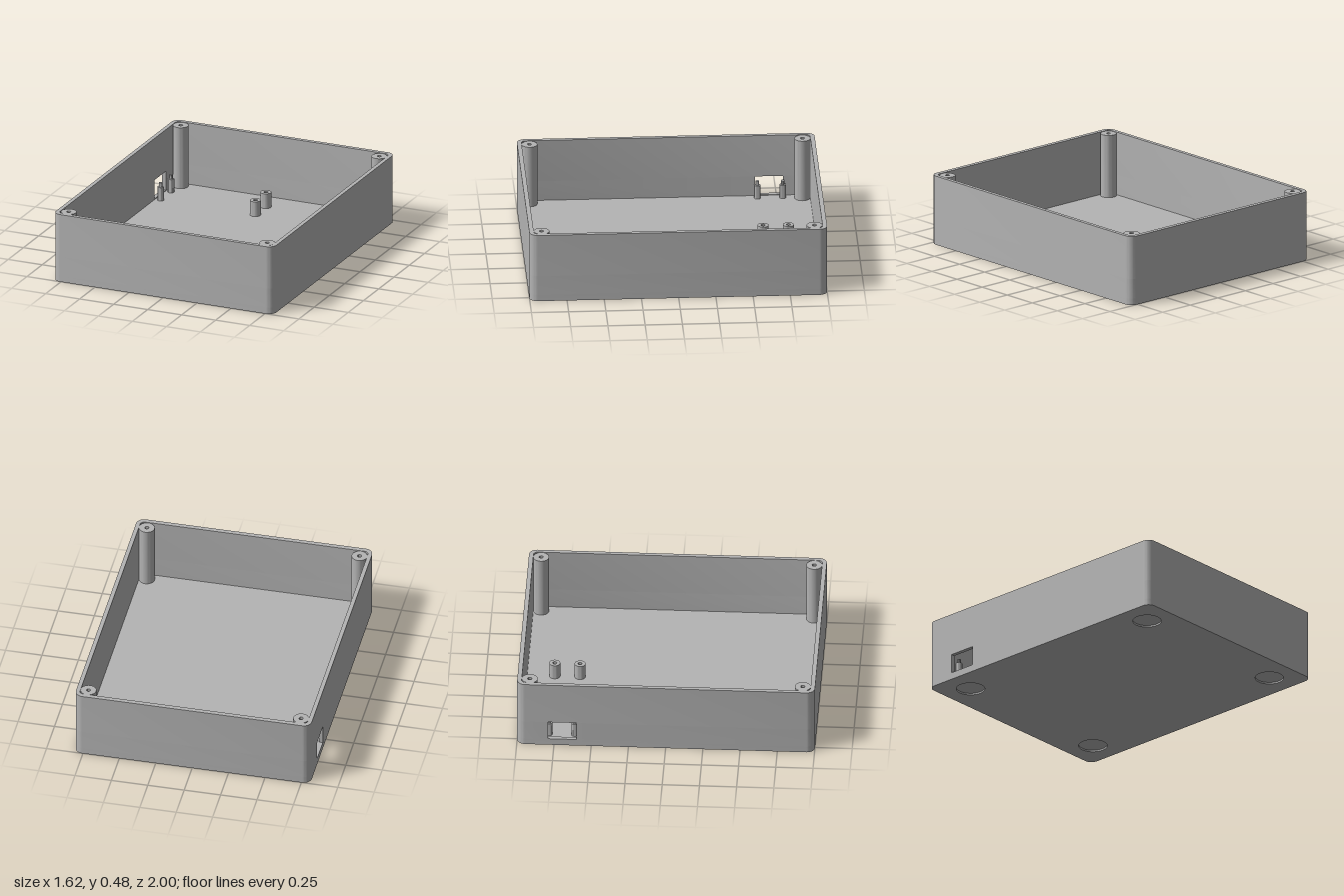
import * as THREE from 'three';
import { toCreasedNormals } from 'three/addons/utils/BufferGeometryUtils.js';

const HW = 0.81, HD = 1, H = 0.48, FLOOR = 0.042;

// Rounded rectangle, counter-clockwise, starting and ending on the -x side
function loop(hw, hd, r, n = 10) {
  const pts = [];
  [[-1, -1], [1, -1], [1, 1], [-1, 1]].forEach(([sx, sy], k) => {
    for (let i = 0; i <= n; i++) {
      const a = Math.PI + (k + i / n) * Math.PI / 2;
      pts.push(new THREE.Vector2(sx * (hw - r) + r * Math.cos(a), sy * (hd - r) + r * Math.sin(a)));
    }
  });
  return pts;
}

export function createModel() {
  const group = new THREE.Group();
  const grey = new THREE.MeshStandardMaterial({ color: 0xb4b4b4 });
  grey.name = 'grey plastic';

  const add = (name, geo, x = 0, y = 0, z = 0) => {
    const mesh = new THREE.Mesh(toCreasedNormals(geo, 0.6), grey);
    mesh.name = name;
    mesh.position.set(x, y, z);
    group.add(mesh);
  };
  // Horizontal slab from a plan outline (shape y is -z)
  const slab = (name, shape, y0, y1) => {
    const geo = new THREE.ExtrudeGeometry(shape, { depth: y1 - y0, bevelEnabled: false, curveSegments: 32 });
    add(name, geo.rotateX(-Math.PI / 2), 0, y0, 0);
  };
  // Turned part from [radius, height] pairs, outside going up
  const turned = (name, profile, x, y, z) =>
    add(name, new THREE.LatheGeometry(profile.map(p => new THREE.Vector2(...p)), 32), x, y, z);

  const outer = loop(HW, HD, 0.055);
  const inner = loop(0.782, 0.97, 0.028);

  // Base with four round recesses for feet
  const base = new THREE.Shape(outer);
  for (const sx of [-1, 1]) for (const sz of [-1, 1]) {
    base.holes.push(new THREE.Path().absarc(sx * 0.61, sz * 0.8, 0.096, 0, Math.PI * 2, true));
  }
  slab('footRecessLayer', base, 0, 0.012);
  slab('floor', new THREE.Shape(outer), 0.012, FLOOR);

  // Walls, with a port opening in the -x side near the back
  const ring = new THREE.Shape(outer);
  ring.holes.push(new THREE.Path(inner));
  const z0 = 0.6, z1 = 0.79;
  const v = (x, y) => new THREE.Vector2(x, y);
  const openRing = new THREE.Shape([
    v(-HW, z0), ...outer, v(-HW, z1),
    v(-0.782, z1), ...inner.slice().reverse(), v(-0.782, z0),
  ]);
  slab('wallBelowPort', ring, FLOOR, 0.048);
  slab('wallAroundPort', openRing, 0.048, 0.182);
  slab('wallAbovePort', ring, 0.182, H);

  // Corner screw posts with blind holes
  const post = H - FLOOR - 0.003;
  for (const sx of [-1, 1]) for (const sz of [-1, 1]) {
    turned('screwPost', [[0.053, 0], [0.053, post], [0.014, post], [0.014, post - 0.15], [0, post - 0.15]],
      sx * 0.73, FLOOR, sz * 0.917);
  }

  // Circuit board supports: pegs with pins beside the port, hollow standoffs inboard
  for (const z of [-0.785, -0.615]) {
    turned('locatingPeg', [[0.022, 0], [0.022, 0.095], [0.012, 0.095], [0.012, 0.125], [0, 0.125]],
      -0.742, FLOOR, z);
    turned('standoff', [[0.037, 0], [0.037, 0.105], [0.014, 0.105], [0.014, 0.02], [0, 0.02]],
      -0.045, FLOOR, z);
  }
  return group;
}
